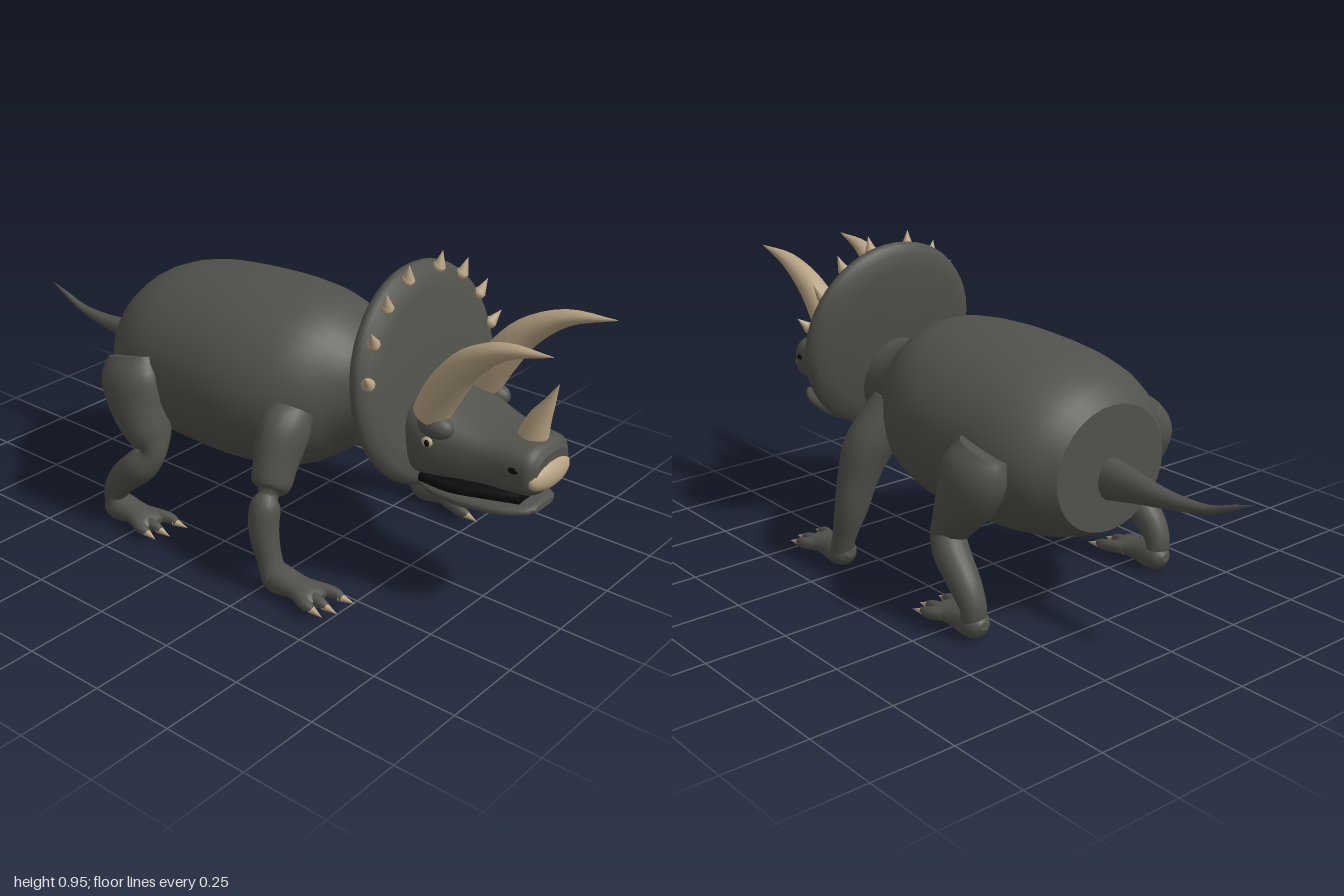
import * as THREE from 'three';

const mat = (name, color) => Object.assign(new THREE.MeshStandardMaterial({ color }), { name });

// Smooth sweep through sections [x, y, z, vertical radius, sideways radius].
// power > 2 makes the cross-section boxier; upright keeps rings square to x.
function sweep(sections, { sides = 24, steps = 4, power = 2, upright = false } = {}) {
  const path = new THREE.CatmullRomCurve3(sections.map(s => new THREE.Vector3(s[0], s[1], s[2])), false, 'catmullrom');
  const radii = new THREE.CatmullRomCurve3(sections.map(s => new THREE.Vector3(s[3], s[4], 0)), false, 'catmullrom');
  const n = (sections.length - 1) * steps;
  const pos = [], index = [];
  const round = v => Math.sign(v) * Math.abs(v) ** (2 / power);
  const addRing = i => {
    const c = path.getPoint(i / n), r = radii.getPoint(i / n);
    const t = upright ? new THREE.Vector3(1, 0, 0) : path.getTangent(i / n);
    const side = new THREE.Vector3(0, 0, 1).addScaledVector(t, -t.z).normalize();
    const other = t.clone().cross(side);
    const start = pos.length / 3;
    for (let j = 0; j < sides; j++) {
      const a = j / sides * Math.PI * 2;
      const p = c.clone().addScaledVector(other, Math.max(r.x, 0.001) * round(Math.cos(a)))
        .addScaledVector(side, Math.max(r.y, 0.001) * round(Math.sin(a)));
      pos.push(p.x, p.y, p.z);
    }
    return { start, c };
  };
  for (let i = 0; i <= n; i++) addRing(i);
  for (let i = 0; i < n; i++) for (let j = 0; j < sides; j++) {
    const k = (j + 1) % sides, a = i * sides, b = a + sides;
    index.push(a + j, b + j, a + k, b + j, b + k, a + k);
  }
  // Flat end caps with their own corners
  for (const end of [0, n]) {
    const { start, c } = addRing(end);
    const mid = pos.length / 3;
    pos.push(c.x, c.y, c.z);
    for (let j = 0; j < sides; j++) {
      const k = (j + 1) % sides;
      index.push(mid, start + (end ? k : j), start + (end ? j : k));
    }
  }
  const g = new THREE.BufferGeometry();
  g.setAttribute('position', new THREE.Float32BufferAttribute(pos, 3));
  g.setIndex(index);
  g.computeVertexNormals();
  return g;
}

// Sections given as [x, top, bottom, half width]
const hull = (rows, options) => sweep(
  rows.map(([x, t, b, w]) => [x, (t + b) / 2, 0, (t - b) / 2, w]), { upright: true, ...options });

export function createModel() {
  const root = new THREE.Group();
  const hide = mat('darkHide', 0x51524b), horn = mat('horn', 0xb7a383), black = mat('black', 0x0c0c0c);
  const add = (name, geometry, material, parent = root) => {
    const m = new THREE.Mesh(geometry, material);
    m.name = name;
    parent.add(m);
    return m;
  };
  const ball = (name, material, p, scale, parent) => {
    const m = add(name, new THREE.SphereGeometry(1, 20, 14), material, parent);
    m.position.set(...p);
    m.scale.set(...scale);
  };
  const spike = (name, base, dir, radius, length, parent) => {
    const m = add(name, new THREE.ConeGeometry(radius, length, 14).translate(0, length / 2, 0), horn, parent);
    m.position.set(...base);
    m.quaternion.setFromUnitVectors(new THREE.Vector3(0, 1, 0), new THREE.Vector3(...dir).normalize());
  };

  // Barrel body running into the neck, cut flat at the rump
  add('body', hull([
    [-0.5, 0.64, 0.275, 0.2], [-0.42, 0.7, 0.24, 0.27], [-0.3, 0.74, 0.215, 0.312], [-0.1, 0.76, 0.205, 0.328],
    [0.05, 0.76, 0.215, 0.32], [0.17, 0.75, 0.24, 0.282], [0.25, 0.715, 0.29, 0.225], [0.31, 0.665, 0.335, 0.155],
    [0.37, 0.635, 0.345, 0.115], [0.43, 0.62, 0.345, 0.11], [0.52, 0.62, 0.36, 0.12]], { sides: 32 }), hide);
  add('tail', sweep([[-0.47, 0.428, 0, 0.068, 0.052], [-0.6, 0.43, 0, 0.044, 0.036], [-0.72, 0.432, 0, 0.025, 0.026],
    [-0.85, 0.447, 0, 0.013, 0.015], [-0.94, 0.48, 0, 0.008, 0.008], [-1, 0.505, 0, 0.001, 0.001]], { sides: 16 }), hide);

  // Frill: rounded disc, leaning back
  const frill = new THREE.Group();
  frill.name = 'frill';
  frill.position.set(0.52, 0.62, 0);
  frill.rotation.z = 0.175;
  root.add(frill);
  const rim = [[0, -0.055], [0.14, -0.052], [0.24, -0.043], [0.285, -0.032], [0.305, -0.015], [0.31, 0],
    [0.305, 0.015], [0.285, 0.032], [0.24, 0.04], [0.14, 0.045], [0, 0.045]];
  add('frillDisc', new THREE.LatheGeometry(rim.map(p => new THREE.Vector2(...p)), 48).rotateZ(-Math.PI / 2), hide, frill);
  for (const s of [-1, 1]) for (const deg of [14, 36, 57, 78]) {
    const a = deg * Math.PI / 180, y = Math.cos(a), z = s * Math.sin(a);
    ball('frillSpikeBase', horn, [0.032, y * 0.288, z * 0.288], [0.018, 0.018, 0.018], frill);
    spike('frillSpike', [0.034, y * 0.288, z * 0.288], [0.45, y + 0.5, z * 0.8], 0.018, 0.048, frill);
  }

  // Head and jaws
  const head = new THREE.Group();
  head.name = 'head';
  root.add(head);
  add('skull', hull([
    [0.52, 0.6, 0.375, 0.15], [0.58, 0.615, 0.37, 0.165], [0.64, 0.595, 0.375, 0.164], [0.72, 0.567, 0.386, 0.142],
    [0.8, 0.55, 0.39, 0.118], [0.87, 0.546, 0.39, 0.108], [0.915, 0.54, 0.397, 0.1], [0.935, 0.515, 0.415, 0.078]],
  { power: 2.8, sides: 32 }), hide, head);
  add('lowerJaw', hull([
    [0.56, 0.4, 0.34, 0.1], [0.62, 0.372, 0.32, 0.12], [0.72, 0.366, 0.314, 0.124], [0.83, 0.368, 0.322, 0.108],
    [0.9, 0.368, 0.334, 0.075], [0.92, 0.362, 0.345, 0.045]], { power: 2.5 }), hide, head);
  add('mouth', hull([[0.6, 0.392, 0.355, 0.125], [0.7, 0.392, 0.355, 0.128], [0.8, 0.396, 0.36, 0.1], [0.88, 0.396, 0.362, 0.07]],
    { power: 4 }), black, head);
  ball('beak', horn, [0.923, 0.452, 0], [0.032, 0.042, 0.095], head);
  add('noseHorn', sweep([[0.868, 0.53, 0, 0.043, 0.041], [0.885, 0.59, 0, 0.033, 0.03],
    [0.91, 0.645, 0, 0.017, 0.017], [0.935, 0.705, 0, 0.001, 0.001]], { sides: 16 }), horn, head);
  for (const s of [-1, 1]) {
    add('browHorn', sweep([[0.63, 0.575, s * 0.122, 0.05, 0.052], [0.675, 0.66, s * 0.125, 0.052, 0.052],
      [0.75, 0.755, s * 0.135, 0.042, 0.042], [0.86, 0.823, s * 0.147, 0.023, 0.027],
      [1, 0.85, s * 0.155, 0.001, 0.001]], { sides: 20 }), horn, head);
    ball('brow', hide, [0.655, 0.55, s * 0.135], [0.055, 0.035, 0.035], head);
    ball('eye', horn, [0.648, 0.51, s * 0.16], [0.017, 0.015, 0.01], head);
    ball('pupil', black, [0.652, 0.51, s * 0.167], [0.008, 0.01, 0.005], head);
    ball('nostril', black, [0.88, 0.482, s * 0.105], [0.016, 0.009, 0.006], head);
  }

  // Legs: smooth on the far side, pinched at the joint on the near side
  const frontSmooth = [[0.2, 0.5, 0.21, 0.08, 0.08], [0.225, 0.4, 0.29, 0.073, 0.078], [0.24, 0.3, 0.325, 0.06, 0.063],
    [0.25, 0.2, 0.347, 0.047, 0.053], [0.275, 0.1, 0.36, 0.036, 0.036], [0.29, 0.05, 0.358, 0.034, 0.042]];
  const frontPinched = [[0.225, 0.49, 0.21, 0.065, 0.06], [0.23, 0.44, 0.25, 0.07, 0.08], [0.235, 0.36, 0.29, 0.06, 0.07],
    [0.24, 0.3, 0.315, 0.053, 0.058], [0.243, 0.28, 0.33, 0.028, 0.03], [0.246, 0.25, 0.347, 0.044, 0.042],
    [0.25, 0.18, 0.358, 0.043, 0.043], [0.272, 0.1, 0.36, 0.036, 0.036], [0.29, 0.05, 0.358, 0.034, 0.042]];
  const hind = knee => [[-0.315, 0.53, 0.3, 0.085, 0.05], [-0.3, 0.47, 0.315, 0.108, 0.078], [-0.27, 0.39, 0.322, 0.095, 0.078],
    [-0.225, 0.31, 0.325, 0.065, 0.068], [-0.205, 0.262, 0.335, knee, knee], [-0.24, 0.215, 0.35, 0.052, 0.052],
    [-0.31, 0.15, 0.36, 0.046, 0.045], [-0.345, 0.09, 0.36, 0.036, 0.038], [-0.335, 0.05, 0.358, 0.034, 0.04]];

  const leg = (name, sections, s, ankle) => {
    const g = new THREE.Group();
    g.name = name;
    root.add(g);
    add('limb', sweep(sections.map(([x, y, z, a, b]) => [x, y, s * z, a, b]), { sides: 20 }), hide, g);
    const z = s * 0.355;
    add('foot', sweep([[ankle - 0.045, 0.05, z, 0.012, 0.015], [ankle - 0.025, 0.048, z, 0.036, 0.036],
      [ankle + 0.01, 0.045, z, 0.044, 0.045], [ankle + 0.07, 0.044, z, 0.032, 0.043],
      [ankle + 0.13, 0.04, z, 0.024, 0.05], [ankle + 0.155, 0.037, z, 0.01, 0.035]], { sides: 20 }), hide, g);
    // Three toes, each with a claw
    for (const [dz, reach] of [[-0.05, 0.195], [0.012, 0.19], [0.047, 0.17]]) {
      const tz = s * (0.355 + dz);
      add('toe', sweep([[ankle + 0.1, 0.042, z + s * dz * 0.6, 0.02, 0.02], [ankle + reach - 0.03, 0.038, tz, 0.018, 0.016],
        [ankle + reach, 0.033, tz, 0.012, 0.011]], { sides: 12 }), hide, g);
      spike('claw', [ankle + reach - 0.01, 0.033, tz], [1, -0.15, s * dz * 3], 0.013, 0.05, g);
    }
  };
  leg('frontLegNear', frontPinched, 1, 0.295);
  leg('frontLegFar', frontSmooth, -1, 0.295);
  leg('hindLegNear', hind(0.04), 1, -0.34);
  leg('hindLegFar', hind(0.052), -1, -0.34);
  return root;
}
